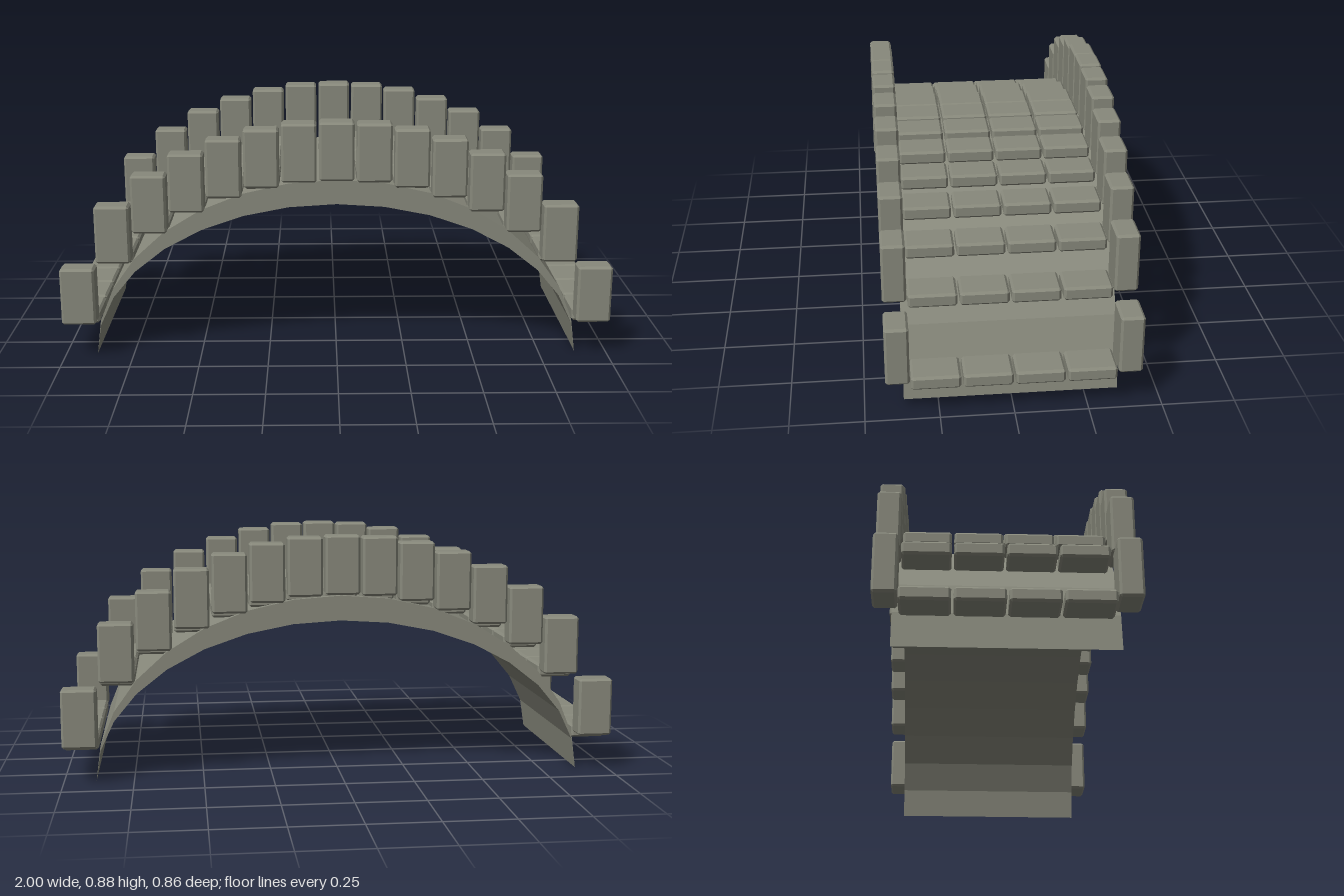
import * as THREE from 'three';
import { ConvexGeometry } from 'three/addons/geometries/ConvexGeometry.js';

// Box with chamfered edges, as the hull of its inset faces
function chamferBox(w, h, d, c) {
  const pts = [];
  for (const sx of [-1, 1]) for (const sy of [-1, 1]) for (const sz of [-1, 1]) {
    const x = sx * w / 2, y = sy * h / 2, z = sz * d / 2;
    pts.push(
      new THREE.Vector3(x, y - sy * c, z - sz * c),
      new THREE.Vector3(x - sx * c, y, z - sz * c),
      new THREE.Vector3(x - sx * c, y - sy * c, z));
  }
  return new ConvexGeometry(pts);
}

export function createModel() {
  const bridge = new THREE.Group();
  bridge.name = 'stoneBridge';
  const stone = new THREE.MeshStandardMaterial({ color: 0x88897c });
  stone.name = 'grey stone';

  const add = (name, geometry, x, y, z) => {
    const mesh = new THREE.Mesh(geometry, stone);
    mesh.name = name;
    mesh.position.set(x, y, z);
    bridge.add(mesh);
  };

  // Vault: crescent between two half ellipses that meet at the ground
  const N = 16, R = 0.885, outer = 0.66, inner = 0.57, depth = 0.734;
  const profile = [];
  for (let i = 0; i <= N; i++) {
    const a = Math.PI * i / N;
    profile.push(new THREE.Vector2(R * Math.cos(a), outer * Math.sin(a)));
  }
  for (let i = N - 1; i > 0; i--) {
    const a = Math.PI * i / N;
    profile.push(new THREE.Vector2(R * Math.cos(a), inner * Math.sin(a)));
  }
  const vault = new THREE.ExtrudeGeometry(new THREE.Shape(profile), { depth, bevelEnabled: false });
  add('archVault', vault, 0, 0, -depth / 2);

  // Fifteen rows of paving stones with a parapet stone at either side
  const parapet = chamferBox(0.125, 0.212, 0.081, 0.008);
  const paver = chamferBox(0.125, 0.048, 0.166, 0.008);
  const tops = [0.881, 0.876, 0.856, 0.82, 0.768, 0.691, 0.579, 0.346];
  for (let i = -7; i <= 7; i++) {
    const x = i * 0.9375 / 7, top = tops[Math.abs(i)];
    for (const side of [-1, 1]) add('parapetStone', parapet, x, top - 0.106, side * 0.388);
    for (let k = 0; k < 4; k++) add('pavingStone', paver, x, top - 0.212, (k - 1.5) * 0.174);
  }
  return bridge;
}
